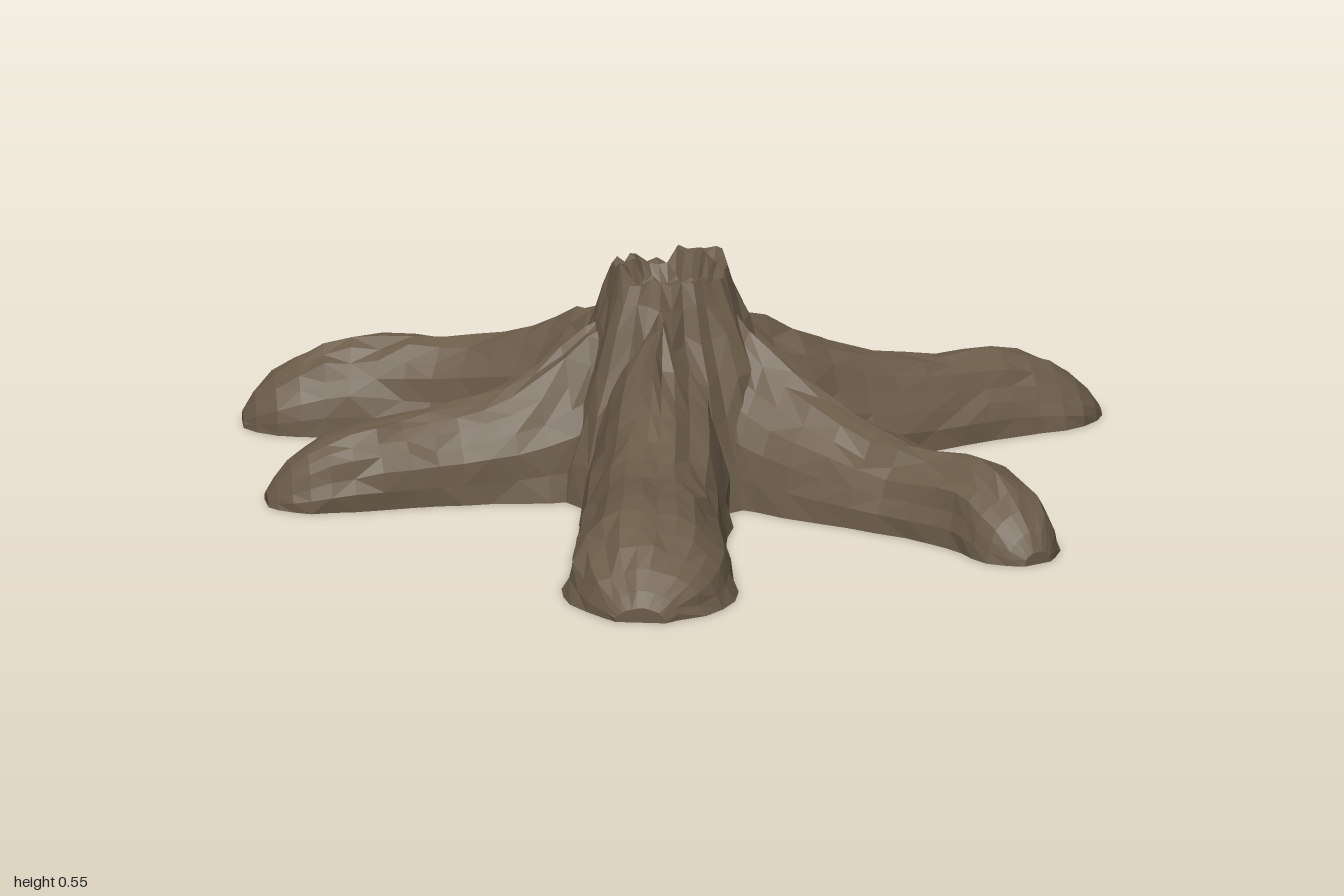
import * as THREE from 'three';

const CENTER = new THREE.Vector3(0.02, 0, -0.17);

// Repeatable noise in -1..1
function noise(a, b, c = 0) {
  const s = Math.sin(a * 12.9898 + b * 78.233 + c * 37.719) * 43758.5453;
  return (s - Math.floor(s)) * 2 - 1;
}

// Joins closed rings of points into a faceted skin, capped at both ends
function loft(rings) {
  const pos = [];
  const n = rings[0].length;
  const tri = (a, b, c) => pos.push(...a.toArray(), ...b.toArray(), ...c.toArray());
  const mid = (ring) => ring.reduce((s, p) => s.add(p), new THREE.Vector3()).divideScalar(n);
  for (let i = 0; i < rings.length - 1; i++) {
    for (let j = 0; j < n; j++) {
      const k = (j + 1) % n;
      const a = rings[i][j], b = rings[i][k], c = rings[i + 1][j], d = rings[i + 1][k];
      // Alternate the diagonal so the facets look carved
      if (noise(i, j, 5) > 0) { tri(a, b, c); tri(b, d, c); }
      else { tri(a, b, d); tri(a, d, c); }
    }
  }
  const first = rings[0], last = rings[rings.length - 1];
  const m0 = mid(first), m1 = mid(last);
  for (let j = 0; j < n; j++) {
    const k = (j + 1) % n;
    tri(m0, first[k], first[j]);
    tri(m1, last[j], last[k]);
  }
  const geo = new THREE.BufferGeometry();
  geo.setAttribute('position', new THREE.Float32BufferAttribute(pos, 3));
  geo.computeVertexNormals();
  return geo;
}

// Root: arched sections along a path of [x, z, height, half width], flat underneath
function rootGeometry(path, seed) {
  const curve = new THREE.CatmullRomCurve3(path.map(([x, z, h]) => new THREE.Vector3(x, h, z)));
  const end = path[path.length - 1];
  const steps = 16, cols = 13;
  const rings = [];
  for (let i = 0; i <= steps; i++) {
    const u = 1 - Math.pow(1 - i / steps, 1.4);
    const p = curve.getPoint(u);
    const t = curve.getTangent(u).setY(0).normalize();
    const f = u * (path.length - 1);
    const s = Math.min(Math.floor(f), path.length - 2);
    const dist = Math.hypot(p.x - end[0], p.z - end[1]);
    const round = (r) => (dist < r ? Math.sqrt(Math.max(0, 1 - (1 - dist / r) ** 2)) : 1);
    const w0 = THREE.MathUtils.lerp(path[s][3], path[s + 1][3], f - s);
    const w = w0 * Math.max(0.32, round(w0 * 1.1));
    const h = p.y * Math.max(0.2, round(w0 * 2));
    // Tall sections near the trunk lean in towards a ridge
    const lean = THREE.MathUtils.clamp((h - 0.2) / 0.2, 0, 1);
    const ring = [];
    for (let j = 0; j <= cols; j++) {
      const a = (j / cols) * Math.PI;
      // Long grooves that drift along the root, plus small dents
      const groove = noise(j, seed, Math.floor((i + j * 2) / 5));
      const rough = 1 + 0.05 * groove + 0.03 * noise(i, j, seed);
      const c = Math.cos(a);
      const across = Math.sign(c) * Math.pow(Math.abs(c), 1.05 + lean * 0.5) * w * rough;
      const up = Math.pow(Math.max(0, Math.sin(a)), 1 + lean * 0.1) * h * rough;
      ring.push(new THREE.Vector3(p.x + t.z * across, j % cols ? up : 0, p.z - t.x * across));
    }
    rings.push(ring);
  }
  return loft(rings);
}

// Trunk: fluted cone, jagged rim and sunken hollow, as [radius, y, roughness]
function trunkGeometry() {
  const cols = 34;
  const profile = [
    [0.31, 0, 0.05], [0.28, 0.09, 0.07], [0.245, 0.2, 0.09], [0.215, 0.3, 0.1], [0.185, 0.39, 0.09],
    [0.158, 0.46, 0.07], [0.138, 0.515, 0.06], [0.115, 0.51, 0.08], [0.095, 0.46, 0.14], [0.05, 0.43, 0.2],
  ];
  const rings = profile.map(([r, y, rough], i) => {
    const ring = [];
    for (let j = 0; j < cols; j++) {
      const a = (j / cols) * Math.PI * 2;
      const rad = r * (1 + rough * noise(j, 3) + rough * 0.4 * noise(i, j, 9));
      const rim = i === 6 || i === 7 ? 0.028 * noise(Math.floor(j / 3), 21) : 0;
      const dy = i === 0 ? 0 : rim + 0.01 * noise(i, j, 14);
      ring.push(new THREE.Vector3(CENTER.x + Math.cos(a) * rad, y + dy, CENTER.z - Math.sin(a) * rad));
    }
    return ring;
  });
  return loft(rings);
}

const ROOTS = {
  frontRoot: [[0.01, -0.05, 0.46, 0.14], [0.01, 0.04, 0.4, 0.17], [0.01, 0.2, 0.28, 0.17],
    [0.01, 0.42, 0.21, 0.17], [0.025, 0.7, 0.215, 0.195], [0.015, 0.955, 0.18, 0.19]],
  frontLeftRoot: [[0.13, -0.13, 0.45, 0.12], [0.23, -0.1, 0.36, 0.165], [0.38, -0.01, 0.26, 0.155],
    [0.58, 0.11, 0.185, 0.13], [0.78, 0.26, 0.19, 0.115], [0.92, 0.45, 0.15, 0.115]],
  backLeftRoot: [[0.11, -0.22, 0.46, 0.1], [0.2, -0.28, 0.38, 0.14], [0.35, -0.39, 0.28, 0.14],
    [0.55, -0.51, 0.2, 0.125], [0.76, -0.63, 0.18, 0.11], [0.99, -0.74, 0.12, 0.105]],
  backRoot: [[0.03, -0.28, 0.47, 0.1], [0.02, -0.36, 0.4, 0.13], [0.05, -0.47, 0.3, 0.13],
    [0.12, -0.62, 0.22, 0.12], [0.2, -0.77, 0.19, 0.11], [0.28, -0.95, 0.15, 0.095]],
  backRightRoot: [[-0.08, -0.24, 0.46, 0.1], [-0.17, -0.32, 0.37, 0.14], [-0.3, -0.42, 0.28, 0.145],
    [-0.5, -0.52, 0.22, 0.135], [-0.74, -0.56, 0.205, 0.125], [-1, -0.53, 0.15, 0.11]],
  frontRightRoot: [[-0.08, -0.15, 0.46, 0.1], [-0.19, -0.13, 0.36, 0.15], [-0.35, -0.08, 0.25, 0.14],
    [-0.52, -0.03, 0.2, 0.12], [-0.72, 0.04, 0.175, 0.105], [-0.91, 0.08, 0.13, 0.105]],
};

export function createModel() {
  const model = new THREE.Group();
  model.name = 'rootedStump';
  const bark = new THREE.MeshStandardMaterial({ color: 0x6b5c49 });
  bark.name = 'brown bark';

  const add = (name, geometry) => {
    const mesh = new THREE.Mesh(geometry, bark);
    mesh.name = name;
    model.add(mesh);
  };
  add('trunk', trunkGeometry());
  Object.entries(ROOTS).forEach(([name, path], i) => add(name, rootGeometry(path, i + 1)));
  return model;
}
